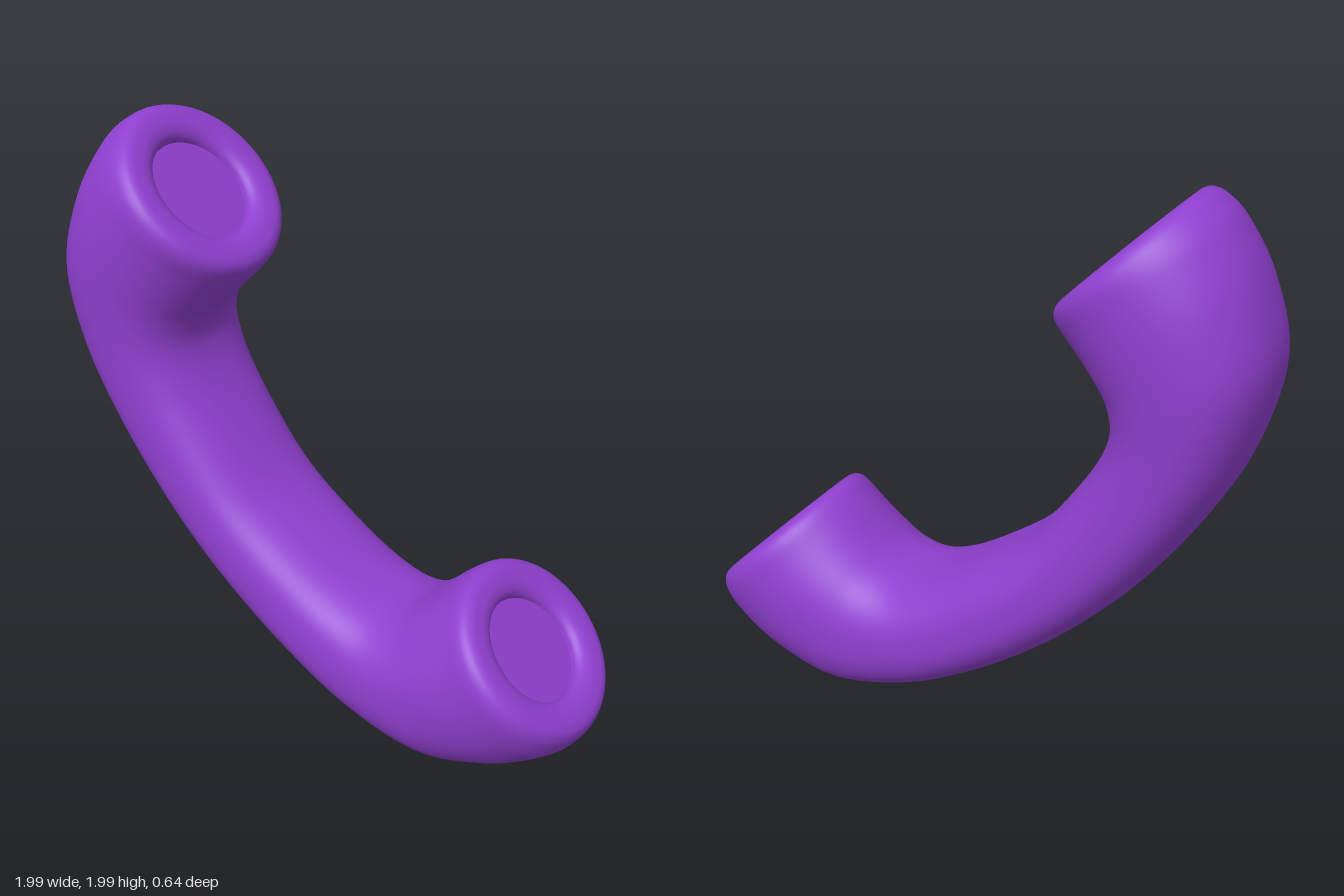
import * as THREE from 'three';

// Half of the handset in its own plane, from mid-grip to the recess:
// [inner u, inner v, outer u, outer v, half width, squareness]
const HALF = [
  [0, -0.312, 0, -0.655, 0.265, 2.5],
  [0.17, -0.294, 0.24, -0.643, 0.266, 2.5],
  [0.389, -0.247, 0.51, -0.598, 0.27, 2.5],
  [0.523, -0.184, 0.792, -0.509, 0.281, 2.45],
  [0.58, -0.1, 1.054, -0.346, 0.3, 2.35],
  [0.594, 0, 1.19, -0.125, 0.315, 2.2],
  [0.594, 0.09, 1.243, 0.06, 0.32, 2.05],
  [0.598, 0.16, 1.239, 0.15, 0.32, 2],
];
const FACE_U = 0.915, RECESS_R = 0.18, FLOOR_V = 0.163;

// Rounded rim and recess wall: [radius, v]
const RIM = [[0.305, 0.193], [0.28, 0.21], [0.25, 0.213], [0.222, 0.21], [0.198, 0.199], [0.184, 0.182], [RECESS_R, FLOOR_V]];
for (const [r, v] of RIM) HALF.push([FACE_U - r, v, FACE_U + r, v, r, 2]);

// Loft of rounded sections through all stations, mirrored about mid-grip
function loftGeometry(perSpan = 6, sides = 72) {
  const mirrored = HALF.slice(1).reverse().map(([a, b, c, d, w, n]) => [-a, b, -c, d, w, n]);
  const stations = [...mirrored, ...HALF];
  const spline = (pick) => new THREE.CatmullRomCurve3(
    stations.map((s) => new THREE.Vector3(...pick(s))), false, 'catmullrom', 0.5);
  const inner = spline((s) => [s[0], s[1], s[4]]);
  const outer = spline((s) => [s[2], s[3], s[5]]);
  const rings = (stations.length - 1) * perSpan;
  const pos = [], index = [];
  const power = (x, n) => Math.sign(x) * Math.abs(x) ** (2 / n);
  for (let i = 0; i <= rings; i++) {
    const a = inner.getPoint(i / rings), b = outer.getPoint(i / rings);
    for (let j = 0; j < sides; j++) {
      const t = (j / sides) * Math.PI * 2;
      const k = (1 - power(Math.cos(t), b.z)) / 2;
      pos.push(a.x + (b.x - a.x) * k, a.y + (b.y - a.y) * k, a.z * power(Math.sin(t), b.z));
      if (i < rings) {
        const p = i * sides + j, q = i * sides + (j + 1) % sides;
        index.push(p, q, p + sides, q, q + sides, p + sides);
      }
    }
  }
  const geo = new THREE.BufferGeometry();
  geo.setAttribute('position', new THREE.Float32BufferAttribute(pos, 3));
  geo.setIndex(index);
  geo.computeVertexNormals();
  return geo;
}

export function createModel() {
  const group = new THREE.Group();
  group.name = 'telephoneHandset';
  const material = new THREE.MeshStandardMaterial({ color: 0x9040d0 });

  // Handset tilted so both cups face up and to the side
  const handset = new THREE.Group();
  handset.name = 'handset';
  handset.rotation.z = -Math.PI / 4;
  handset.position.y = 1;
  group.add(handset);

  const body = new THREE.Mesh(loftGeometry(), material);
  body.name = 'gripAndCups';
  handset.add(body);

  // Flat floors of the two recesses
  for (const [name, side] of [['earpieceFloor', -1], ['mouthpieceFloor', 1]]) {
    const floor = new THREE.Mesh(new THREE.CircleGeometry(RECESS_R, 72).rotateX(-Math.PI / 2), material);
    floor.name = name;
    floor.position.set(side * FACE_U, FLOOR_V, 0);
    handset.add(floor);
  }
  return group;
}
